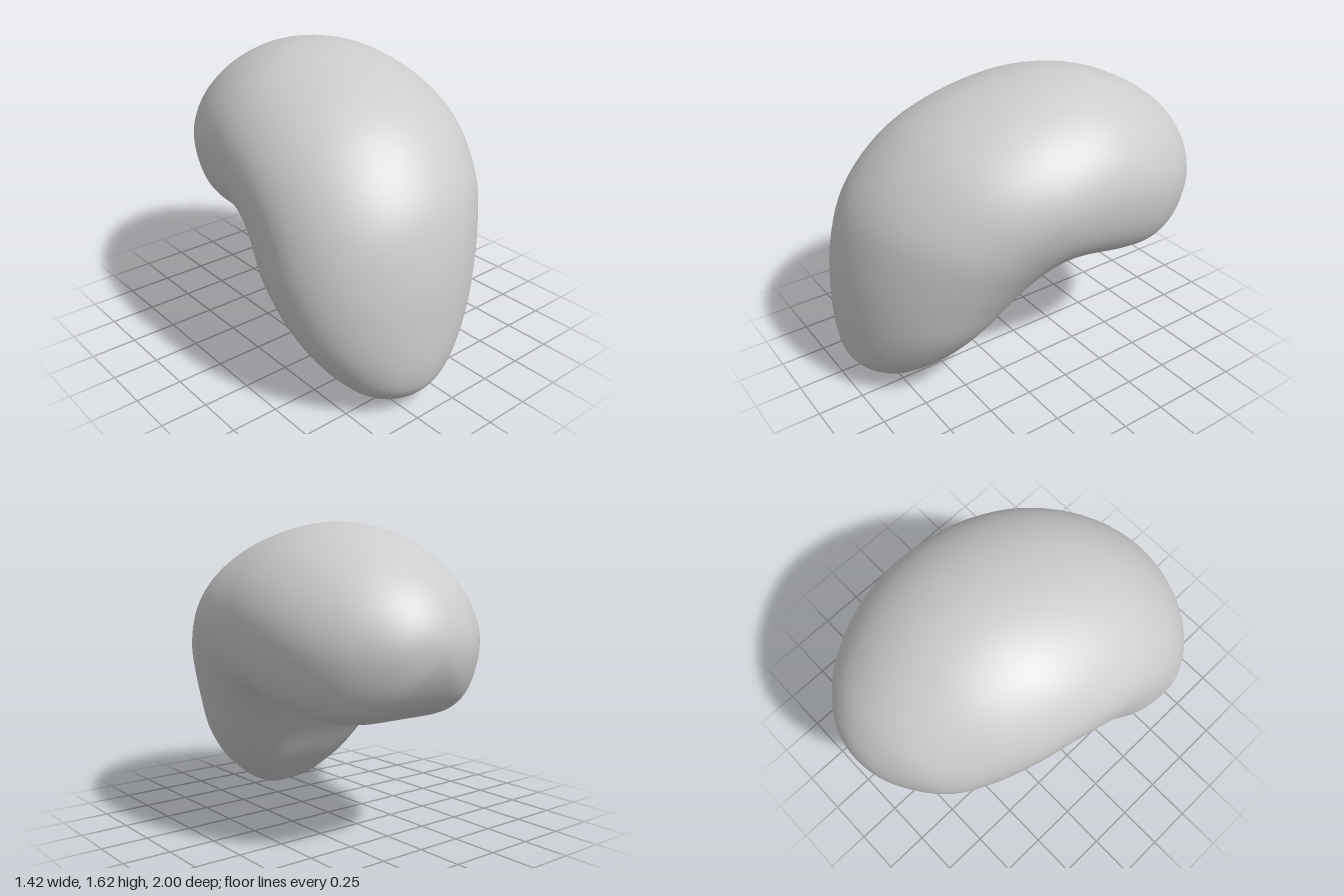
import * as THREE from 'three';

// Cross-sections from the lower front tip over the bend to the rear tip:
// outer z, outer y, inner z, inner y, min x, max x
const SECTIONS = [
  [0.74, 0.0, 0.74, 0.0, -0.18, -0.18],
  [0.88, 0.045, 0.61, 0.04, -0.35, 0.0],
  [0.965, 0.13, 0.5, 0.13, -0.465, 0.125],
  [0.995, 0.24, 0.4, 0.235, -0.56, 0.245],
  [1.0, 0.45, 0.28, 0.4, -0.66, 0.38],
  [0.975, 0.76, 0.14, 0.57, -0.71, 0.485],
  [0.88, 1.08, 0.06, 0.66, -0.705, 0.57],
  [0.63, 1.37, 0.01, 0.71, -0.685, 0.64],
  [0.3, 1.54, -0.04, 0.73, -0.66, 0.685],
  [-0.12, 1.624, -0.13, 0.722, -0.615, 0.705],
  [-0.42, 1.587, -0.32, 0.685, -0.555, 0.695],
  [-0.65, 1.487, -0.51, 0.655, -0.47, 0.645],
  [-0.83, 1.36, -0.7, 0.67, -0.355, 0.55],
  [-0.935, 1.235, -0.86, 0.755, -0.19, 0.42],
  [-0.985, 1.13, -0.96, 0.89, -0.04, 0.29],
  [-1.0, 1.025, -1.0, 1.025, 0.12, 0.12],
];
const STEPS = 120, SIDES = 80;
const TILT = 0.06; // turns the rings slightly, opposite ways at the two ends
const SAG = 0.05; // puts the widest line a little towards the inner side
const FULLNESS = 0.45; // makes the inner side fuller and flatter

function beanGeometry() {
  // One closed curve runs along the outer side and back along the inner side,
  // so the surface stays round at both tips.
  const last = SECTIONS.length - 1;
  const outer = SECTIONS.map((s) => new THREE.Vector3(s[4], s[1], s[0]));
  const inner = SECTIONS.slice(1, last).reverse().map((s) => new THREE.Vector3(s[5], s[3], s[2]));
  const loop = new THREE.CatmullRomCurve3([...outer, ...inner], true);

  const positions = [], index = [];
  for (let i = 0; i <= STEPS; i++) {
    // Closer rings towards the tips
    const turn = Math.cos((i / STEPS) * Math.PI);
    const t = (1 - turn) / 4;
    const a = loop.getPoint(t), b = loop.getPoint((1 - t) % 1);
    const count = i === 0 || i === STEPS ? 1 : SIDES;
    for (let j = 0; j < count; j++) {
      const angle = (j / SIDES) * Math.PI * 2;
      const cos = Math.cos(angle), sin = Math.sin(angle);
      const rounded = cos < 0 ? cos * (1 + FULLNESS * sin * sin) : cos;
      const c = rounded / 2 - SAG * sin * sin;
      const dx = sin * (b.x - a.x) / 2;
      positions.push(
        (a.x + b.x) / 2 + dx,
        (a.y + b.y) / 2 + c * (a.y - b.y),
        (a.z + b.z) / 2 + c * (a.z - b.z) - TILT * turn * dx,
      );
    }
  }
  // Faces: a fan at each tip, quads between rings
  const vertex = (i, j) => (i === 0 ? 0 : 1 + (i - 1) * SIDES + (i === STEPS ? 0 : j % SIDES));
  for (let i = 0; i < STEPS; i++) {
    for (let j = 0; j < SIDES; j++) {
      const p = vertex(i, j), q = vertex(i, j + 1), r = vertex(i + 1, j), s = vertex(i + 1, j + 1);
      if (i > 0) index.push(p, q, r);
      if (i < STEPS - 1) index.push(q, s, r);
    }
  }
  const geometry = new THREE.BufferGeometry();
  geometry.setAttribute('position', new THREE.Float32BufferAttribute(positions, 3));
  geometry.setIndex(index);
  geometry.computeVertexNormals();
  return geometry;
}

export function createModel() {
  const group = new THREE.Group();
  group.name = 'bean';
  const body = new THREE.Mesh(beanGeometry(), new THREE.MeshStandardMaterial({ color: 0xcccccc }));
  body.name = 'beanBody';
  group.add(body);
  return group;
}
